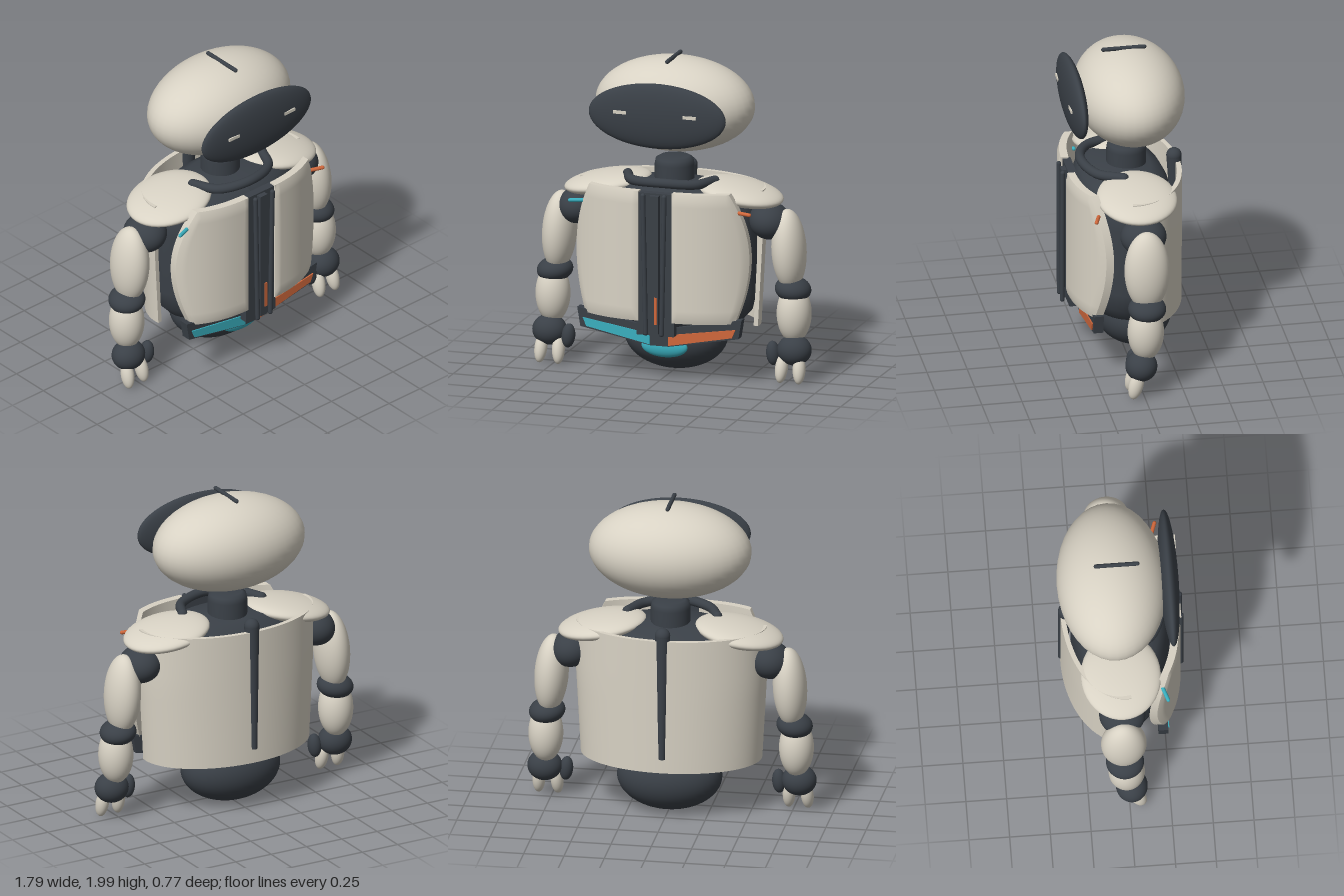
import * as THREE from 'three';

const mat = (name, color) => {
  const m = new THREE.MeshStandardMaterial({ color });
  m.name = name;
  return m;
};

export function createModel() {
  const pale = mat('warm white', 0xd8d2c4);
  const dark = mat('charcoal', 0x3a4047);
  const teal = mat('teal', 0x3ab0c0);
  const orange = mat('orange', 0xd0683c);
  const model = new THREE.Group();
  model.name = 'robot';

  const add = (parent, name, geo, material, p = [0, 0, 0], r = [0, 0, 0]) => {
    const m = new THREE.Mesh(geo, material);
    m.name = name;
    m.position.set(...p);
    m.rotation.set(...r);
    parent.add(m);
    return m;
  };
  const ball = (parent, name, material, p, s, r) => {
    const g = new THREE.SphereGeometry(1, 40, 28).scale(...s);
    return add(parent, name, g, material, p, r);
  };
  const box = (parent, name, material, p, s, r) =>
    add(parent, name, new THREE.BoxGeometry(...s), material, p, r);
  // Bends a subdivided box: u and v run 0..1, t runs -1 (inside) to 0 (outside)
  const panel = (nu, nv, rule) => {
    const g = new THREE.BoxGeometry(1, 1, 1, nu, nv, 1);
    const pos = g.attributes.position;
    for (let i = 0; i < pos.count; i++) {
      pos.setXYZ(i, ...rule(pos.getX(i) + 0.5, pos.getY(i) + 0.5, pos.getZ(i) - 0.5));
    }
    g.computeVertexNormals();
    return g;
  };
  const extrude = (pts, depth) =>
    new THREE.ExtrudeGeometry(new THREE.Shape(pts.map(p => new THREE.Vector2(...p))),
      { depth, bevelEnabled: false });
  const lathe = pts => new THREE.LatheGeometry(pts.map(p => new THREE.Vector2(...p)), 48);

  // Head, visor and crest
  const head = new THREE.Group();
  head.name = 'head';
  model.add(head);
  ball(head, 'skull', pale, [0, 1.69, -0.05], [0.503, 0.295, 0.338]);
  ball(head, 'visor', dark, [0, 1.69, 0.3], [0.442, 0.205, 0.06]);
  for (const x of [-0.225, 0.225]) box(head, 'eye', pale, [x, 1.71, 0.353], [0.085, 0.02, 0.009]);
  add(head, 'crest', new THREE.CapsuleGeometry(0.013, 0.255, 6, 16), dark,
    [0, 1.987, -0.02], [Math.PI / 2, 0, 0]);

  // Neck and collar
  add(model, 'neck', lathe([[0.122, 1.12], [0.122, 1.31], [0.115, 1.345], [0.09, 1.36], [0, 1.36]]),
    dark, [0, 0, -0.035]);
  const collar = new THREE.CatmullRomCurve3(
    [[-0.28, 1.24, 0.03], [-0.2, 1.242, 0.18], [0, 1.255, 0.25], [0.2, 1.242, 0.18], [0.28, 1.24, 0.03]]
      .map(p => new THREE.Vector3(...p)));
  add(model, 'collar', new THREE.TubeGeometry(collar, 48, 0.03, 14), dark);
  for (const x of [-0.28, 0.28]) ball(model, 'collarEnd', dark, [x, 1.24, 0.03], [0.03, 0.03, 0.03]);

  // Inner body and base
  const core = lathe([[0, 0.3], [0.6, 0.3], [0.8, 0.34], [0.95, 0.43], [1, 0.55], [1, 0.98],
    [0.95, 1.1], [0.83, 1.17], [0.6, 1.21], [0, 1.23]]).scale(0.535, 1, 0.3);
  core.computeVertexNormals();
  add(model, 'innerBody', core, dark);
  ball(model, 'base', dark, [0, 0.225, -0.07], [0.325, 0.212, 0.24]);
  ball(model, 'baseLens', teal, [0, 0.198, 0.16], [0.148, 0.068, 0.042]);

  // Wrap-around back shell and its tapered spine
  add(model, 'backShell', panel(56, 10, (u, v, t) => {
    const a = (u - 0.5) * 3.3;
    const k = 0.95 + 0.05 * Math.min(1, v * 1.6);
    return [-(0.59 + t * 0.03) * k * Math.sin(a), 0.34 + 0.86 * v, -(0.366 + t * 0.03) * Math.cos(a)];
  }), pale);
  add(model, 'spine', new THREE.CylinderGeometry(0.047, 0.02, 0.8, 24), dark,
    [0, 0.83, -0.346], [0.035, 0, 0]);
  ball(model, 'spineTop', dark, [0, 1.23, -0.332], [0.047, 0.047, 0.047]);

  // Centre rails of the chest
  box(model, 'chestBacking', dark, [0, 0.76, 0.315], [0.24, 0.9, 0.05]);
  box(model, 'centreStrip', dark, [0, 0.765, 0.355], [0.06, 0.87, 0.035]);
  box(model, 'indicator', orange, [0.013, 0.475, 0.374], [0.017, 0.17, 0.008]);

  // Mirrored parts
  for (const s of [1, -1]) {
    const side = new THREE.Group();
    side.name = s > 0 ? 'leftSide' : 'rightSide';
    side.scale.x = s;
    model.add(side);
    const accent = s > 0 ? orange : teal;

    // Chest plate with a bowed outer edge
    add(side, 'chestPlate', panel(20, 20, (u, v, t) => {
      const y = 0.4 + 0.82 * v;
      const edge = 0.558 - 0.078 * ((0.8 - y) / 0.4) ** 2 * (y < 0.8 ? 1 : 1.25);
      const x = 0.108 + (edge - 0.108) * u;
      const rim = Math.max(Math.abs(u - 0.5), Math.abs(v - 0.5)) > 0.49 ? 0.012 : 0;
      return [x, y, 0.365 - 0.165 * (x / 0.56) ** 3 + (t < -0.5 ? -0.06 : -rim)];
    }), pale);
    add(side, 'chestRail', new THREE.CapsuleGeometry(0.015, 0.87, 6, 14), dark,
      [0.06, 0.765, 0.372], [0, 0, -0.02]);

    // Belt wing with coloured strip
    add(side, 'beltWing', extrude([[0, 0.225], [0.06, 0.225], [0.51, 0.31], [0.53, 0.43], [0.06, 0.34], [0, 0.34]],
      0.06), dark, [0, 0, 0.2]);
    add(side, 'beltStrip', extrude([[0.06, 0.232], [0.47, 0.315], [0.492, 0.368], [0.06, 0.3]], 0.008),
      accent, [0, 0, 0.26]);

    // Shoulder pad and marker
    ball(side, 'shoulderPad', pale, [0.425, 1.168, -0.025], [0.275, 0.065, 0.246], [0, 0, -0.17]);
    add(side, 'shoulderMarker', new THREE.CapsuleGeometry(0.012, 0.14, 6, 12), accent,
      [0.512, 1.1, 0.232], [0, -0.33, Math.PI / 2]);

    // Arm
    const arm = new THREE.Group();
    arm.name = 'arm';
    side.add(arm);
    ball(arm, 'shoulderJoint', dark, [0.615, 1.0, -0.03], [0.13, 0.115, 0.142], [0, 0, -0.3]);
    ball(arm, 'upperArm', pale, [0.74, 0.825, -0.03], [0.104, 0.255, 0.14], [0, 0, 0.06]);
    ball(arm, 'elbow', dark, [0.768, 0.58, -0.025], [0.112, 0.078, 0.117], [0, 0, -0.15]);
    ball(arm, 'forearm', pale, [0.778, 0.43, -0.015], [0.107, 0.185, 0.112]);
    ball(arm, 'wrist', dark, [0.79, 0.205, 0.015], [0.107, 0.095, 0.098]);
    ball(arm, 'thumb', dark, [0.66, 0.182, 0.04], [0.042, 0.076, 0.045], [0, 0, 0.08]);
    for (const x of [0.72, 0.833]) {
      ball(arm, 'finger', pale, [x, 0.095, 0.055], [0.039, 0.092, 0.045], [-0.25, 0, (x - 0.776) * 0.9]);
    }
  }
  return model;
}
